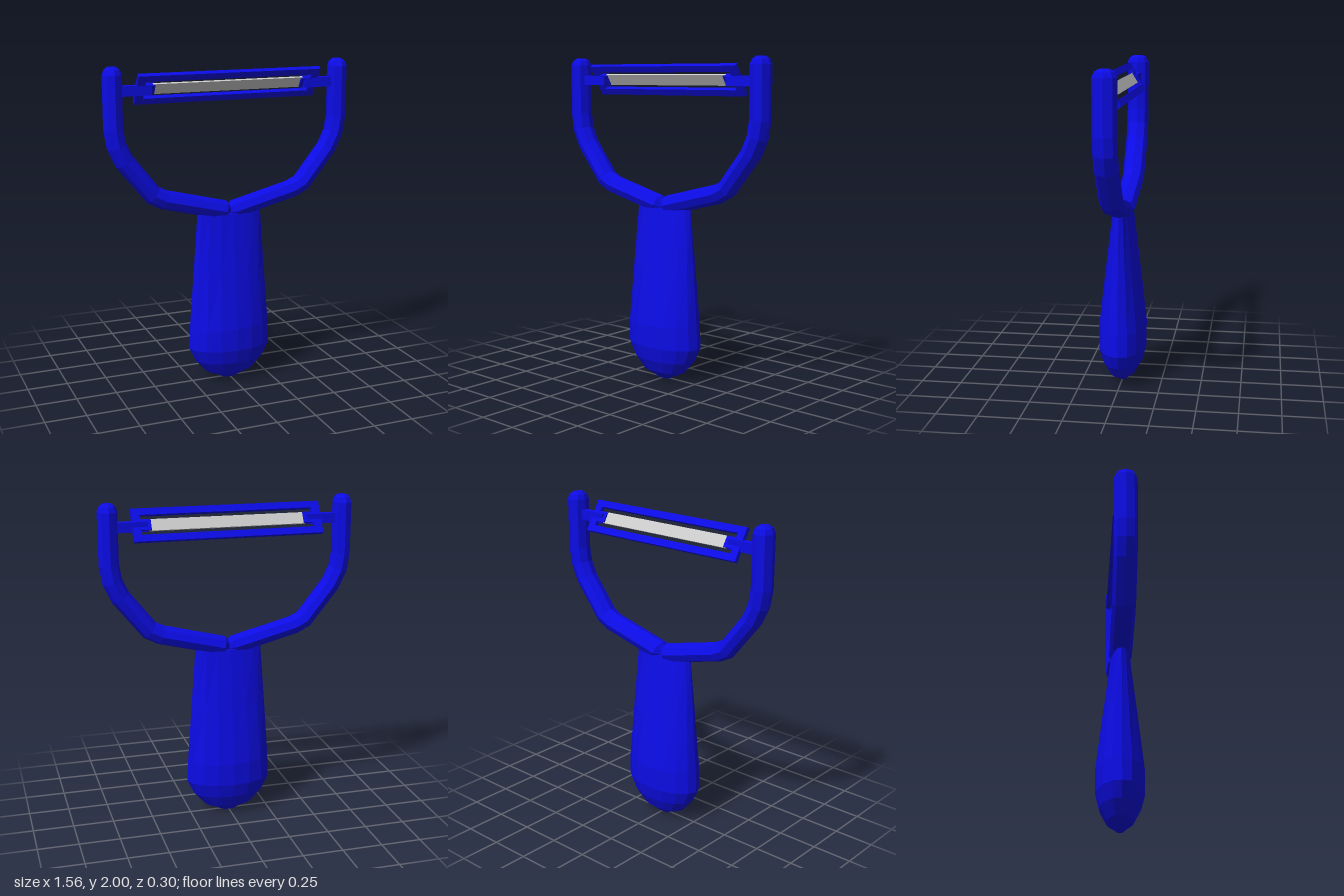
import * as THREE from 'three';

const blue = new THREE.MeshStandardMaterial({ color: 0x0c0ce6, flatShading: true });
const grey = new THREE.MeshStandardMaterial({ color: 0xcccccc, flatShading: true });

// Closed skin through elliptical rings { c: centre, u, v: half-axes }, with u x v pointing along the path
function loft(rings, sides) {
  const pos = [], index = [];
  for (const { c, u, v } of rings) {
    for (let j = 0; j < sides; j++) {
      const a = (j / sides) * Math.PI * 2;
      const p = c.clone().addScaledVector(u, Math.cos(a)).addScaledVector(v, Math.sin(a));
      pos.push(p.x, p.y, p.z);
    }
  }
  const last = (rings.length - 1) * sides;
  for (let j = 0; j < sides; j++) {
    const k = (j + 1) % sides;
    for (let r = 0; r < last; r += sides) {
      index.push(r + j, r + k, r + sides + k, r + j, r + sides + k, r + sides + j);
    }
    // end caps
    if (j > 0 && j < sides - 1) index.push(0, k, j, last, last + j, last + k);
  }
  const geo = new THREE.BufferGeometry();
  geo.setAttribute('position', new THREE.Float32BufferAttribute(pos, 3));
  geo.setIndex(index);
  geo.computeVertexNormals();
  return geo;
}

function add(parent, name, geo, material, x = 0, y = 0, z = 0) {
  const mesh = new THREE.Mesh(geo, material);
  mesh.name = name;
  mesh.position.set(x, y, z);
  parent.add(mesh);
  return mesh;
}

// Flattened handle: [y, half width, half depth]
function handleGeometry() {
  const sections = [
    [0, 0.05, 0.025], [0.015, 0.075, 0.04], [0.05, 0.155, 0.083], [0.13, 0.225, 0.125],
    [0.22, 0.268, 0.148], [0.36, 0.262, 0.15], [0.72, 0.236, 0.106], [1.085, 0.208, 0.06],
  ];
  return loft(sections.map(([y, rx, rz]) => ({
    c: new THREE.Vector3(0, y, 0),
    u: new THREE.Vector3(0, 0, rz),
    v: new THREE.Vector3(rx, 0, 0),
  })), 16);
}

// Curved fork arm: [x, y, thickness factor], with tapered ends
function armGeometry(side) {
  const path = [
    [0, 1.088, 0.5], [0.035, 1.1, 1], [0.42, 1.197, 1], [0.49, 1.232, 1], [0.66, 1.445, 1],
    [0.705, 1.54, 1], [0.722, 1.64, 1], [0.722, 1.955, 1], [0.722, 1.985, 0.8], [0.722, 2, 0.45],
  ];
  const pts = path.map(([x, y]) => new THREE.Vector3(x * side, y, 0));
  return loft(pts.map((c, i) => {
    const before = c.clone().sub(pts[Math.max(i - 1, 0)]).normalize();
    const after = pts[Math.min(i + 1, pts.length - 1)].clone().sub(c).normalize();
    const t = before.add(after).normalize();
    const k = path[i][2];
    return {
      c,
      u: new THREE.Vector3(-t.y, t.x, 0).multiplyScalar(0.06 * k),
      v: new THREE.Vector3(0, 0, 0.071 * k),
    };
  }), 8);
}

export function createModel() {
  const model = new THREE.Group();
  model.name = 'peeler';

  add(model, 'handle', handleGeometry(), blue);
  for (const side of [-1, 1]) {
    const label = side > 0 ? 'left' : 'right';
    add(model, label + 'Arm', armGeometry(side), blue);
    add(model, label + 'Pivot', new THREE.BoxGeometry(0.22, 0.06, 0.05), blue, side * 0.6, 1.86, 0);
  }

  // Swivelling blade carrier, tilted with its upper bar forward
  const carrier = new THREE.Group();
  carrier.name = 'bladeCarrier';
  carrier.position.set(0, 1.865, -0.005);
  carrier.rotation.x = 0.55;
  model.add(carrier);

  const outline = new THREE.Shape([[-0.58, -0.103], [0.58, -0.103], [0.58, 0.103], [-0.58, 0.103]]
    .map(([x, y]) => new THREE.Vector2(x, y)));
  outline.holes.push(new THREE.Path([[-0.53, -0.061], [-0.53, 0.061], [0.53, 0.061], [0.53, -0.061]]
    .map(([x, y]) => new THREE.Vector2(x, y))));
  const frame = new THREE.ExtrudeGeometry(outline, { depth: 0.028, bevelEnabled: false });
  add(carrier, 'carrierFrame', frame, blue, 0, 0, -0.014);

  add(carrier, 'blade', new THREE.BoxGeometry(0.96, 0.072, 0.012), grey);
  for (const side of [-1, 1]) {
    add(carrier, 'bladeMount', new THREE.BoxGeometry(0.07, 0.068, 0.03), blue, side * 0.503, 0, 0);
  }
  return model;
}
